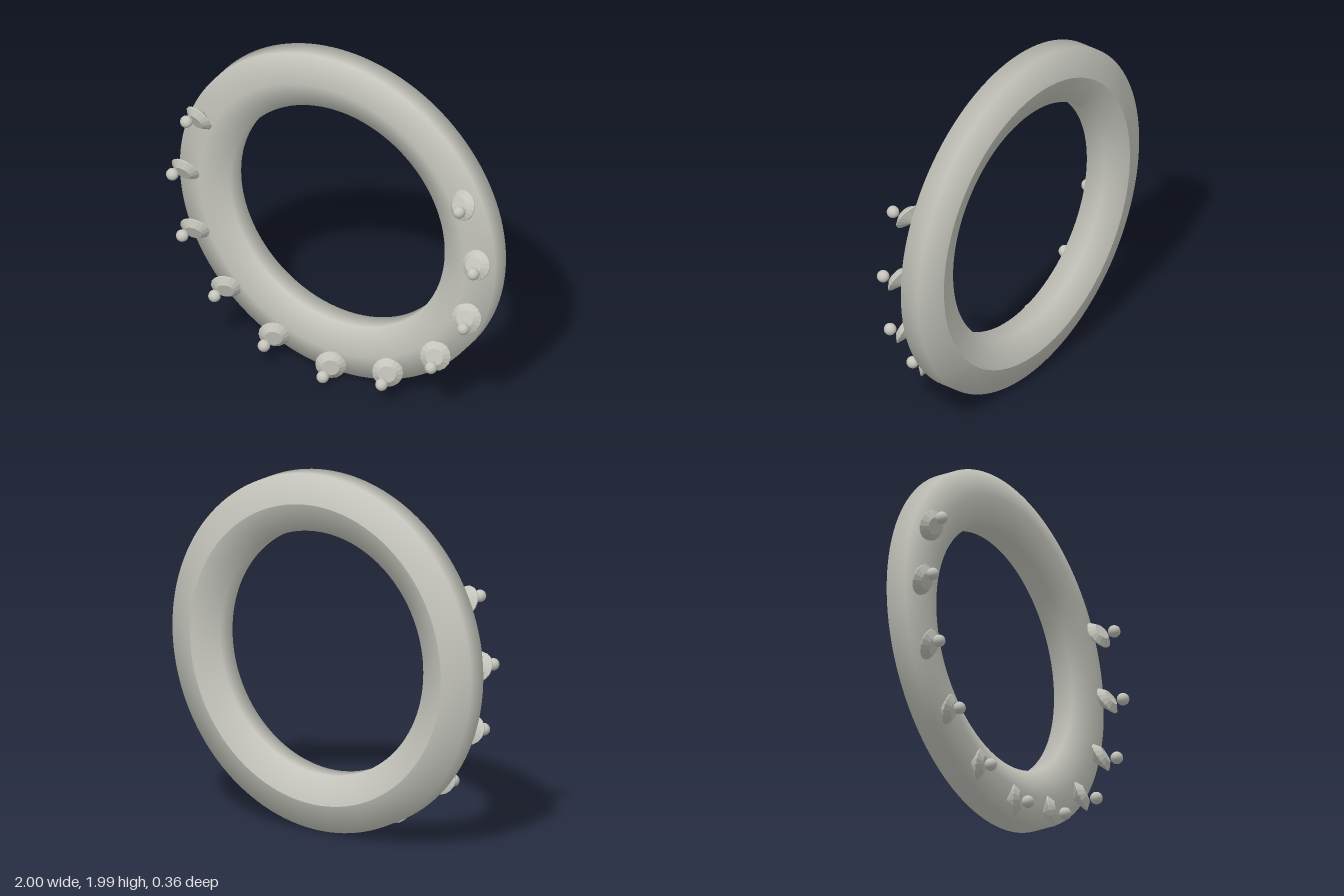
import * as THREE from 'three';

const CENTRE_Y = 1.004;

// Lathe a [radius, height] profile, with its axis turned to face the front
function turned(profile, segments) {
  const points = profile.map(([r, h]) => new THREE.Vector2(r, h));
  return new THREE.LatheGeometry(points, segments).rotateX(Math.PI / 2);
}

export function createModel() {
  const metal = new THREE.MeshStandardMaterial({ color: 0xc4c4bc });
  metal.name = 'paleGrey';

  const model = new THREE.Group();
  model.name = 'jewelledRing';

  // Hexagonal band, smooth apart from the crease around the back
  const bandProfile = [
    [0.834, -0.176], [0.992, -0.119], [0.992, -0.004], [0.834, 0.053],
    [0.676, -0.004], [0.676, -0.119], [0.834, -0.176],
  ];
  const band = new THREE.Mesh(turned(bandProfile, 128).rotateZ(Math.PI), metal);
  band.name = 'band';
  band.position.y = CENTRE_Y;
  model.add(band);

  // Faceted gem: pointed back, wide girdle, flat table
  let gemGeometry = turned([[0, -0.045], [0.084, -0.003], [0.084, 0.003], [0.048, 0.032], [0, 0.032]], 16);
  gemGeometry = gemGeometry.toNonIndexed();
  gemGeometry.computeVertexNormals();
  gemGeometry.rotateY(THREE.MathUtils.degToRad(26));
  const beadGeometry = new THREE.SphereGeometry(0.034, 24, 16);

  // Eleven settings spread around the lower part of the band
  for (let i = -5; i <= 5; i++) {
    const setting = new THREE.Group();
    setting.name = 'setting';
    setting.position.y = CENTRE_Y;
    setting.rotation.z = THREE.MathUtils.degToRad(i * 23);

    const gem = new THREE.Mesh(gemGeometry, metal);
    gem.name = 'gem';
    gem.position.set(0, -0.916, 0.064);

    const bead = new THREE.Mesh(beadGeometry, metal);
    bead.name = 'bead';
    bead.position.set(0, -0.948, 0.148);

    setting.add(gem, bead);
    model.add(setting);
  }
  return model;
}
